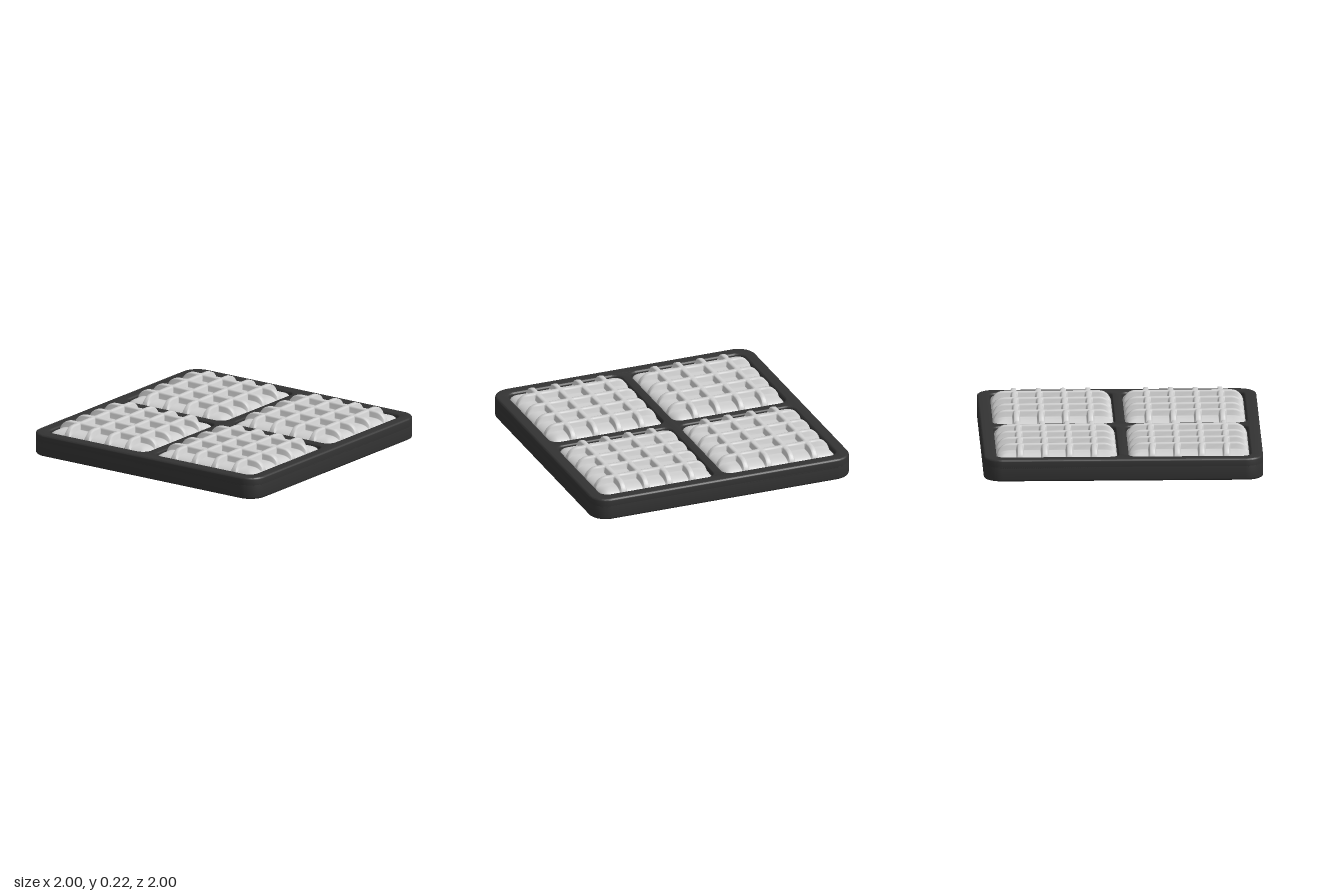
import * as THREE from 'three';
import { toCreasedNormals } from 'three/addons/utils/BufferGeometryUtils.js';

const PAD_CENTRE = 0.473, PAD_HALF = 0.431;
const TRAY_TOP = 0.16, WELL_FLOOR = 0.12;
const CELL_FLOOR = 0.17, RIDGE_TOP = 0.215;
const RIDGES = [-1.5, -0.5, 0.5, 1.5].map((k) => k * 0.177);

// Rounded square outline, used for the tray and its wells
function roundedSquare(target, cx, cy, half, r) {
  const k = half - r;
  target.absarc(cx + k, cy + k, r, 0, Math.PI / 2, false);
  target.absarc(cx - k, cy + k, r, Math.PI / 2, Math.PI, false);
  target.absarc(cx - k, cy - k, r, Math.PI, Math.PI * 1.5, false);
  target.absarc(cx + k, cy - k, r, Math.PI * 1.5, Math.PI * 2, false);
  target.closePath();
  return target;
}

// Upright slab between two heights with softened edges
function slab(shape, y0, y1) {
  const bevel = 0.015;
  const geometry = new THREE.ExtrudeGeometry(shape, {
    depth: y1 - y0 - 2 * bevel, curveSegments: 10,
    bevelSize: bevel, bevelThickness: bevel, bevelOffset: -bevel, bevelSegments: 4,
  });
  geometry.translate(0, 0, y0 + bevel);
  geometry.rotateX(-Math.PI / 2);
  return toCreasedNormals(geometry, 0.7);
}

// Grid lines placed closely only where the pad surface bends
function padAxis() {
  const axis = [];
  for (const d of [0, 0.003, 0.009, 0.018, 0.032, 0.048, 0.068, 0.09]) {
    axis.push(d - PAD_HALF, PAD_HALF - d);
  }
  for (const c of RIDGES) {
    for (const o of [0.03, 0.027, 0.019, 0.015]) axis.push(c - o, c + o);
    axis.push(c);
  }
  return axis.sort((a, b) => a - b);
}

// 0 on a cell floor, 1 on top of a ridge
function ridgeAt(t) {
  const distance = Math.min(...RIDGES.map((c) => Math.abs(t - c)));
  return 1 - THREE.MathUtils.smoothstep(distance, 0.014, 0.03);
}

// Waffle pad: crossing ridges on a cushion with rounded sides
function padGeometry() {
  const axis = padAxis(), n = axis.length, corner = 0.06, inner = PAD_HALF - corner;
  const geometry = new THREE.PlaneGeometry(1, 1, n - 1, n - 1).rotateX(-Math.PI / 2);
  const position = geometry.attributes.position;
  for (let i = 0; i < position.count; i++) {
    let x = axis[i % n], z = axis[Math.floor(i / n)];
    const edge = PAD_HALF - Math.max(Math.abs(x), Math.abs(z));
    const t = 1 - Math.min(edge / 0.09, 1);
    const dome = Math.sqrt(Math.max(0, 1 - t * t));
    const top = THREE.MathUtils.lerp(CELL_FLOOR, RIDGE_TOP, Math.max(ridgeAt(x), ridgeAt(z)));
    // round the four plan corners
    const qx = Math.abs(x) - inner, qz = Math.abs(z) - inner;
    if (qx > 0 && qz > 0) {
      const s = Math.max(qx, qz) / Math.hypot(qx, qz);
      x = Math.sign(x) * (inner + qx * s);
      z = Math.sign(z) * (inner + qz * s);
    }
    position.setXYZ(i, x, WELL_FLOOR + dome * (top - WELL_FLOOR), z);
  }
  geometry.computeVertexNormals();
  return geometry;
}

export function createModel() {
  const model = new THREE.Group();
  model.name = 'waffleTray';

  const trayMaterial = new THREE.MeshStandardMaterial({ color: 0x333333 });
  trayMaterial.name = 'charcoal';
  const padMaterial = new THREE.MeshStandardMaterial({ color: 0xd0d0d0 });
  padMaterial.name = 'lightGrey';

  const add = (name, geometry, material) => {
    const mesh = new THREE.Mesh(geometry, material);
    mesh.name = name;
    model.add(mesh);
    return mesh;
  };

  // Tray: solid base plus a rim and dividers around four wells
  add('trayBase', slab(roundedSquare(new THREE.Shape(), 0, 0, 1, 0.13), 0, WELL_FLOOR), trayMaterial);
  const rim = roundedSquare(new THREE.Shape(), 0, 0, 1, 0.13);
  const pad = padGeometry();
  for (const sx of [-1, 1]) {
    for (const sz of [-1, 1]) {
      rim.holes.push(roundedSquare(new THREE.Path(), sx * PAD_CENTRE, sz * PAD_CENTRE, 0.437, 0.065));
      // Waffle pad in each well
      const name = (sz > 0 ? 'front' : 'back') + (sx > 0 ? 'Left' : 'Right') + 'Pad';
      add(name, pad, padMaterial).position.set(sx * PAD_CENTRE, 0, sz * PAD_CENTRE);
    }
  }
  add('trayRim', slab(rim, 0.08, TRAY_TOP), trayMaterial);

  return model;
}
